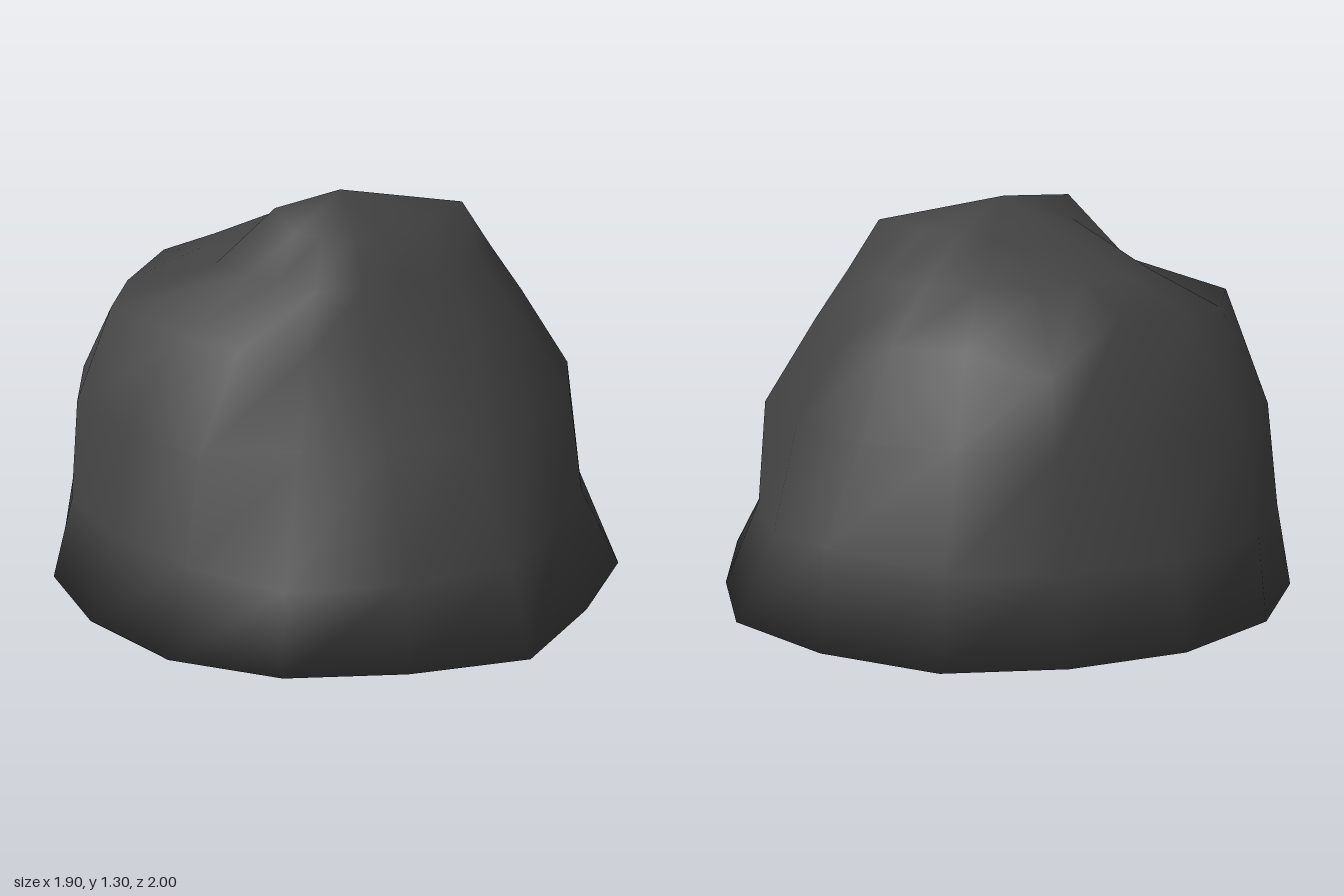
import * as THREE from 'three';

// Stacked outlines of the boulder: height, then radii every 22.5 degrees from +x towards +z.
// lift moves single corners of an outline up or down.
const RINGS = [
  { y: 0.04, r: [.95, .94, 1.02, .955, 1.0, .98, .96, .96, .95, .985, .99, .985, 1.0, 1.01, 1.02, .945],
    lift: { 0: .02, 1: .01, 4: .015, 12: -.01 } },
  { y: 0.31, r: [.82, .83, .91, .90, .955, .88, .86, .89, .90, .95, .92, .90, .93, .99, .88, .83],
    lift: { 13: .06 } },
  { y: 0.65, r: [.77, .73, .70, .66, .66, .80, .80, .86, .86, .88, .79, .80, .75, .80, .79, .80],
    lift: {} },
  { y: 0.92, r: [.59, .52, .48, .49, .52, .58, .60, .74, .70, .69, .63, .72, .60, .64, .64, .63],
    lift: { 7: .04, 8: .04, 9: .07, 10: .1, 11: -.05, 14: -.04 } },
  { y: 1.08, r: [.47, .40, .34, .36, .38, .35, .35, .40, .46, .48, .44, .47, .40, .45, .49, .52],
    lift: { 10: .02 } },
  { y: 1.22, r: [.32, .27, .25, .24, .25, .25, .24, .21, .20, .21, .22, .22, .22, .25, .33, .42],
    lift: { 6: .06, 9: -.03, 10: -.05, 11: -.05, 12: -.03, 15: .015 } },
];
const SIDES = 16;

function boulderGeometry() {
  const positions = [0, 0.02, 0];
  const index = [];
  const addRing = (radius, height) => {
    for (let k = 0; k < SIDES; k++) {
      const a = (k / SIDES) * Math.PI * 2;
      positions.push(radius(k) * Math.cos(a), height(k), radius(k) * Math.sin(a));
    }
  };

  // Slightly bulging underside, then the outer rings and the summit
  addRing((k) => RINGS[0].r[k] * 0.5, (k) => 0.02 * Math.abs(Math.sin((k / SIDES) * Math.PI * 2)));
  for (const { y, r, lift } of RINGS) addRing((k) => r[k], (k) => y + (lift[k] ?? 0));
  const top = positions.length / 3;
  positions.push(0.01, 1.3, -0.01);

  const rows = RINGS.length + 1;
  const at = (row, k) => 1 + row * SIDES + (k % SIDES);
  for (let k = 0; k < SIDES; k++) {
    index.push(0, at(0, k), at(0, k + 1));
    for (let row = 0; row < rows - 1; row++) {
      const a = at(row, k), b = at(row, k + 1), c = at(row + 1, k), d = at(row + 1, k + 1);
      index.push(a, c, b, b, c, d);
    }
    index.push(at(rows - 1, k), top, at(rows - 1, k + 1));
  }

  const geometry = new THREE.BufferGeometry();
  geometry.setAttribute('position', new THREE.Float32BufferAttribute(positions, 3));
  geometry.setIndex(index);
  geometry.computeVertexNormals();
  return geometry;
}

export function createModel() {
  const group = new THREE.Group();
  group.name = 'rock';
  const boulder = new THREE.Mesh(
    boulderGeometry(),
    new THREE.MeshStandardMaterial({ color: 0x424242 })
  );
  boulder.name = 'boulder';
  group.add(boulder);
  return group;
}
